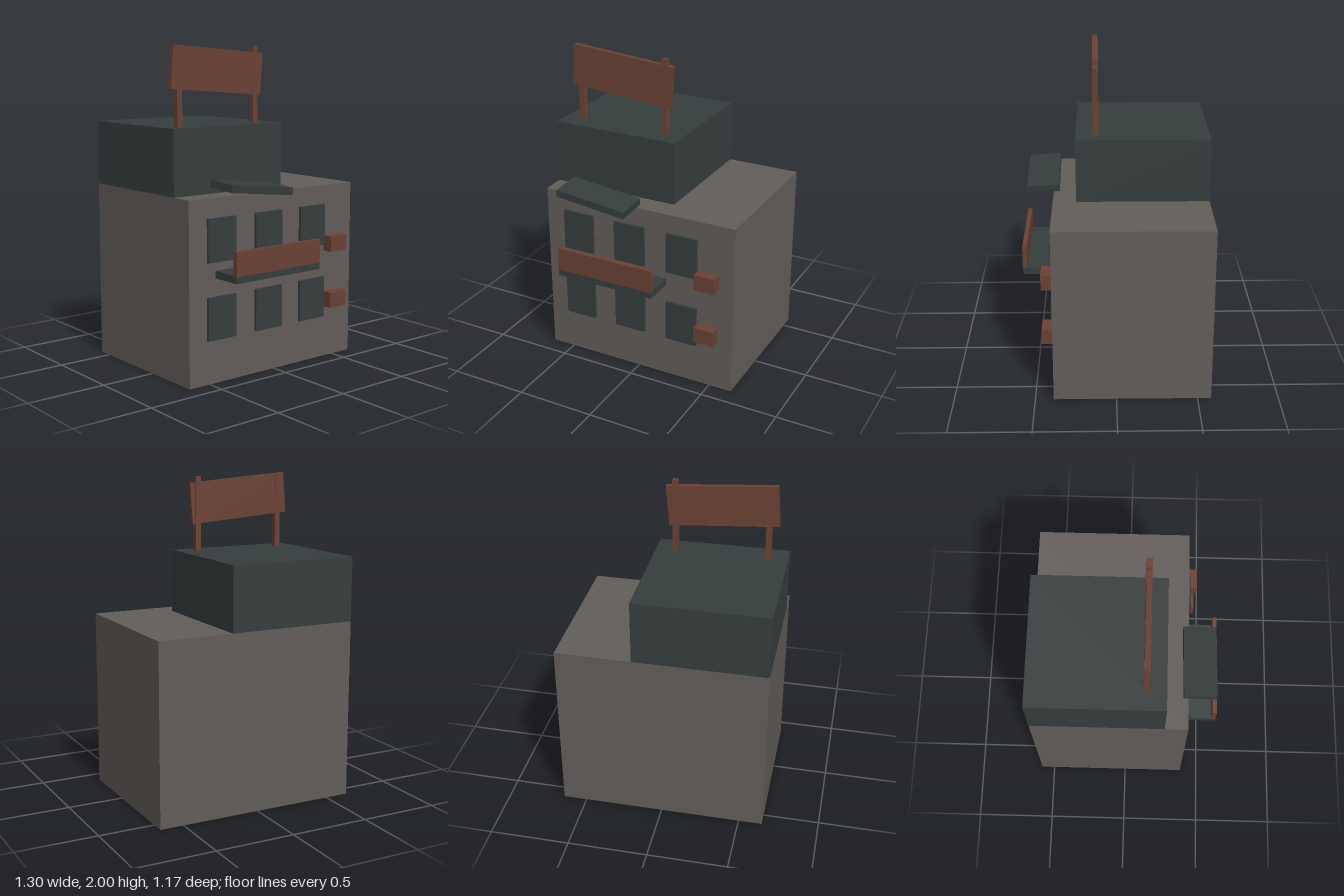
import * as THREE from 'three';

export function createModel() {
  const mat = (name, color) => {
    const m = new THREE.MeshStandardMaterial({ color });
    m.name = name;
    return m;
  };
  const concrete = mat('warm grey concrete', 0x625d59);
  const slate = mat('dark slate', 0x363d3d);
  const rust = mat('rusty brown', 0x6b4134);

  const model = new THREE.Group();
  model.name = 'building';

  // Box given by its extents on each axis
  const box = (name, material, [x0, x1], [y0, y1], [z0, z1]) => {
    const mesh = new THREE.Mesh(new THREE.BoxGeometry(x1 - x0, y1 - y0, z1 - z0), material);
    mesh.position.set((x0 + x1) / 2, (y0 + y1) / 2, (z0 + z1) / 2);
    mesh.name = name;
    model.add(mesh);
    return mesh;
  };

  // Main block and the smaller upper storey, flush at the back right corner
  const wall = 0.387;
  box('mainBlock', concrete, [-0.65, 0.65], [0, 1.12], [-0.585, wall]);
  box('upperStorey', slate, [-0.65, 0.175], [1.12, 1.52], [-0.585, 0.243]);

  // Two rows of three windows, with a wall unit beside each row
  for (const y of [0.4, 0.87]) {
    for (const x of [-0.417, -0.055, 0.305]) {
      box('window', slate, [x - 0.104, x + 0.104], [y - 0.131, y + 0.131], [wall - 0.01, 0.405]);
    }
  }
  for (const y of [0.382, 0.747]) {
    box('wallUnit', rust, [0.417, 0.552], [y - 0.05, y + 0.05], [wall - 0.02, 0.455]);
  }

  // Balcony
  box('balconyFloor', slate, [-0.457, 0.196], [0.64, 0.685], [wall - 0.02, 0.583]);
  box('balconyRail', rust, [-0.457, 0.196], [0.68, 0.826], [0.557, 0.585]);

  // Crooked awning over the top windows
  const awning = box('awning', slate, [-0.468, 0.0], [1.145, 1.19], [0.352, 0.556]);
  awning.rotation.set(0.06, 0, -0.115);

  // Roof sign: two posts and a tilted board
  for (const x of [-0.527, 0.052]) {
    box('signPost', rust, [x - 0.018, x + 0.018], [1.5, 1.99], [0.102, 0.138]);
  }
  const board = box('signBoard', rust, [-0.581, 0.101], [1.717, 1.975], [0.106, 0.139]);
  board.rotation.z = -0.078;

  return model;
}
